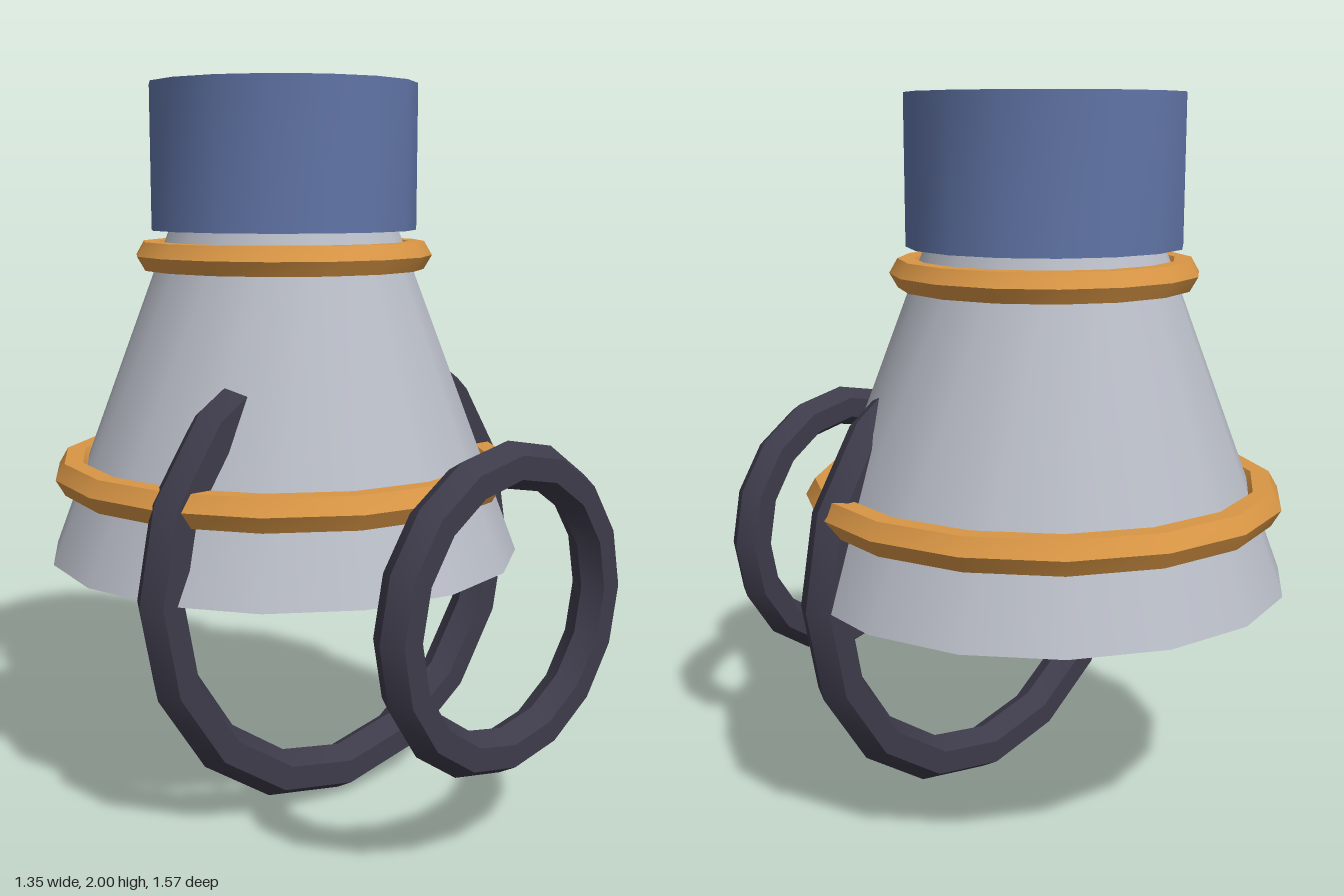
import * as THREE from 'three';
import { toCreasedNormals } from 'three/addons/utils/BufferGeometryUtils.js';

const SIDES = 16;
const AXIS_Z = -0.11;

function material(name, color) {
  const m = new THREE.MeshStandardMaterial({ color });
  m.name = name;
  return m;
}

export function createModel() {
  const model = new THREE.Group();
  const blue = material('slate blue', 0x6074a6);
  const orange = material('amber', 0xd99645);
  const grey = material('light grey', 0xb9bdc7);
  const dark = material('charcoal', 0x3d3b4a);

  function add(name, geometry, mat, y, z) {
    const mesh = new THREE.Mesh(toCreasedNormals(geometry, 0.7), mat);
    mesh.name = name;
    mesh.position.set(0, y, z);
    model.add(mesh);
    return mesh;
  }

  // Hexagonal-section ring, standing upright or lying flat
  function ring(name, radius, tube, mat, y, z, flat) {
    const geometry = new THREE.TorusGeometry(radius, tube, 6, SIDES);
    if (flat) geometry.rotateX(Math.PI / 2);
    return add(name, geometry, mat, y, z);
  }

  // Tapered body and the cap above it
  add('body', new THREE.CylinderGeometry(0.325, 0.675, 0.92, SIDES), grey, 1.14, AXIS_Z);
  add('cap', new THREE.CylinderGeometry(0.375, 0.375, 0.4, SIDES), blue, 1.8, AXIS_Z);

  // Bands around the body
  ring('upperBand', 0.375, 0.045, orange, 1.53, AXIS_Z, true);
  ring('lowerBand', 0.61, 0.052, orange, 0.92, AXIS_Z, true);

  // Upright hoops: a large one through the body, a small one in front
  ring('largeHoop', 0.61, 0.066, dark, 0.68, 0.128, false);
  ring('smallHoop', 0.37, 0.06, dark, 0.68, 0.738, false);

  return model;
}
